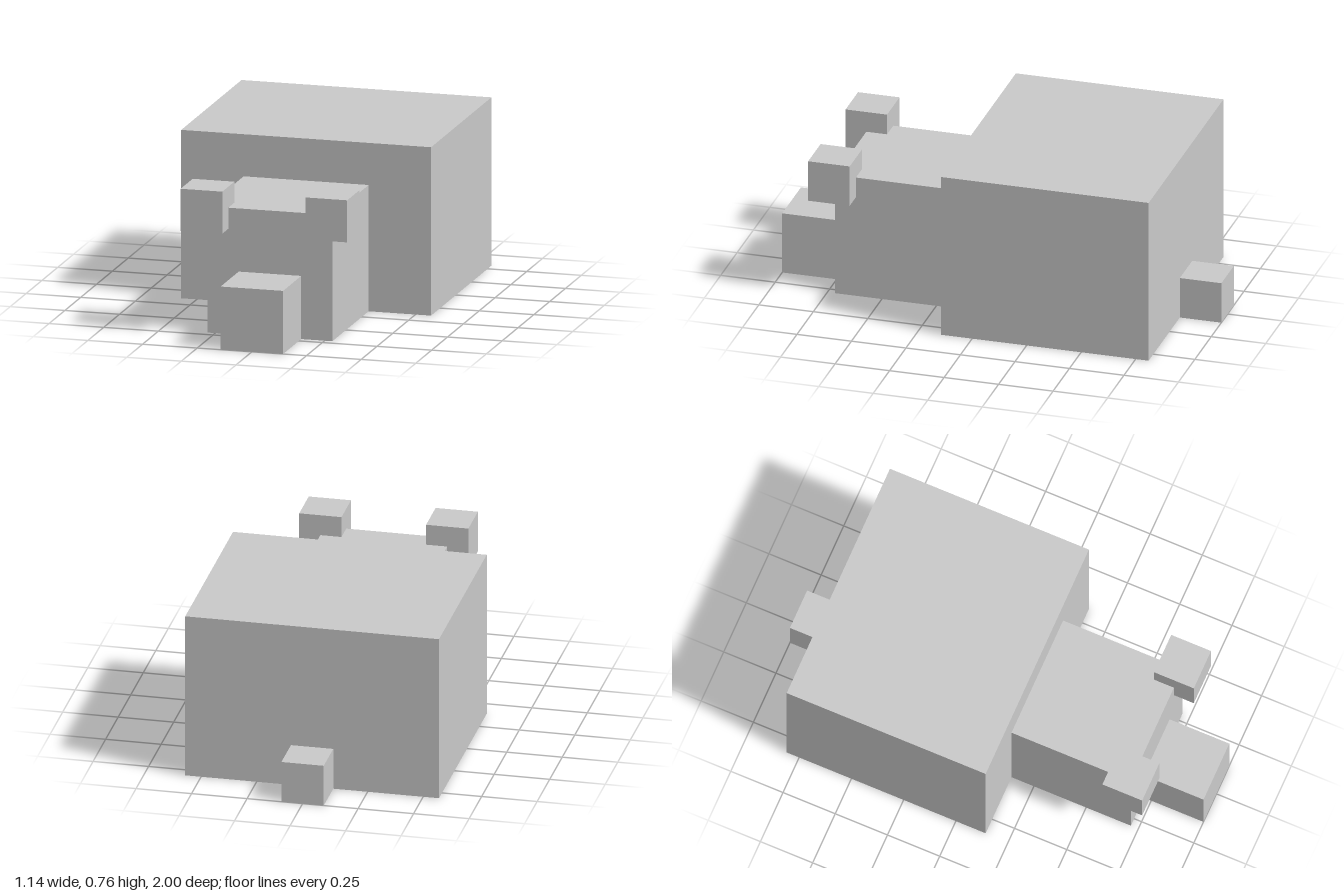
import * as THREE from 'three';

// The animal is blocked out on a grid, 21 units long.
const U = 2 / 21;

export function createModel() {
  const model = new THREE.Group();
  model.name = 'blockAnimal';
  const grey = new THREE.MeshStandardMaterial({ color: 0xcccccc, flatShading: true });

  // Adds a box: size in grid units, x = centre, y = underside, z = back face.
  function block(name, [w, h, d], x, y, z) {
    const mesh = new THREE.Mesh(new THREE.BoxGeometry(w * U, h * U, d * U), grey);
    mesh.name = name;
    mesh.position.set(x * U, (y + h / 2) * U, (z + d / 2) * U);
    model.add(mesh);
  }

  // Tail, body, head and snout follow one another along z
  block('tail', [2, 2, 2], 0, 0, -10.5);
  block('body', [12, 8, 10], 0, 0, -8.5);
  block('head', [6, 6, 6], 0, 0, 1.5);
  block('snout', [3, 3, 3], 0, 0, 7.5);

  // Eyes straddle the upper front corners of the head
  for (const [name, side] of [['leftEye', 1], ['rightEye', -1]]) {
    block(name, [2, 2, 2], side * 3, 5, 6.5);
  }

  return model;
}
